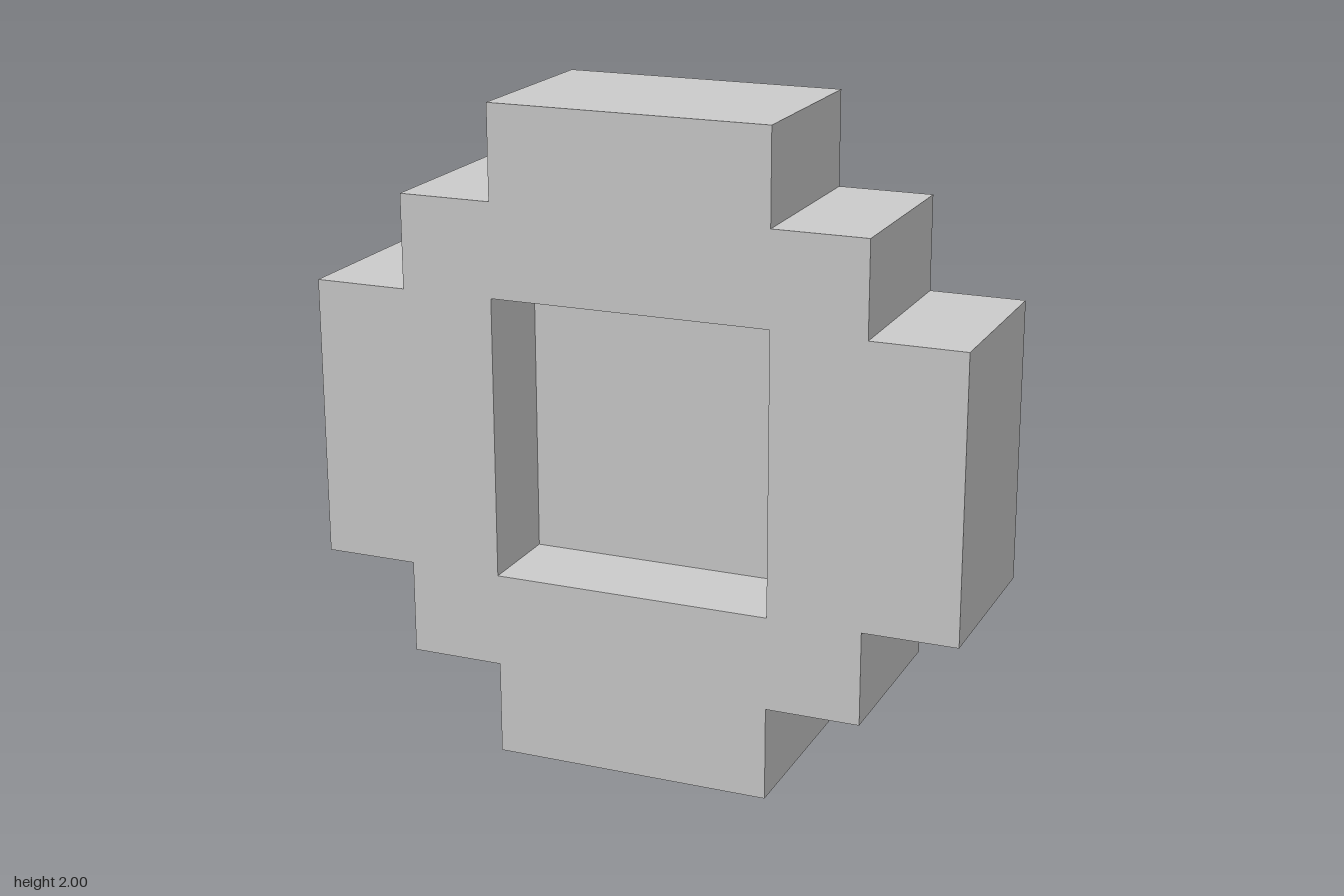
import * as THREE from 'three';

// The whole design sits on a grid of 1/7 unit
const U = 1 / 7;

// Stepped round outline, one quadrant mirrored into four
function steppedOutline() {
  const q = [[7, 3], [5, 3], [5, 5], [3, 5], [3, 7]];
  const r = [...q].reverse();
  const points = [
    ...q,
    ...r.map(([x, y]) => [-x, y]),
    ...q.map(([x, y]) => [-x, -y]),
    ...r.map(([x, y]) => [x, -y]),
  ];
  return new THREE.Shape(points.map(([x, y]) => new THREE.Vector2(x * U, y * U)));
}

export function createModel() {
  const model = new THREE.Group();
  model.name = 'steppedDial';
  const material = new THREE.MeshStandardMaterial({ color: 0xcccccc, flatShading: true });

  const add = (name, geometry, z) => {
    const mesh = new THREE.Mesh(geometry, material);
    mesh.name = name;
    mesh.position.set(0, 1, z);
    model.add(mesh);
  };
  const slab = (shape) => new THREE.ExtrudeGeometry(shape, { depth: 2 * U, bevelEnabled: false });

  // Solid rear half, whose front forms the floor of the recess
  add('backPlate', slab(steppedOutline()), -U);

  // Front half with the square opening
  const rim = steppedOutline();
  const s = 3 * U;
  rim.holes.push(new THREE.Path([
    new THREE.Vector2(-s, -s), new THREE.Vector2(-s, s),
    new THREE.Vector2(s, s), new THREE.Vector2(s, -s),
  ]));
  add('frontRim', slab(rim), U);

  // Cube peg on the back
  add('backPeg', new THREE.BoxGeometry(2 * U, 2 * U, 2 * U), -2 * U);

  return model;
}
